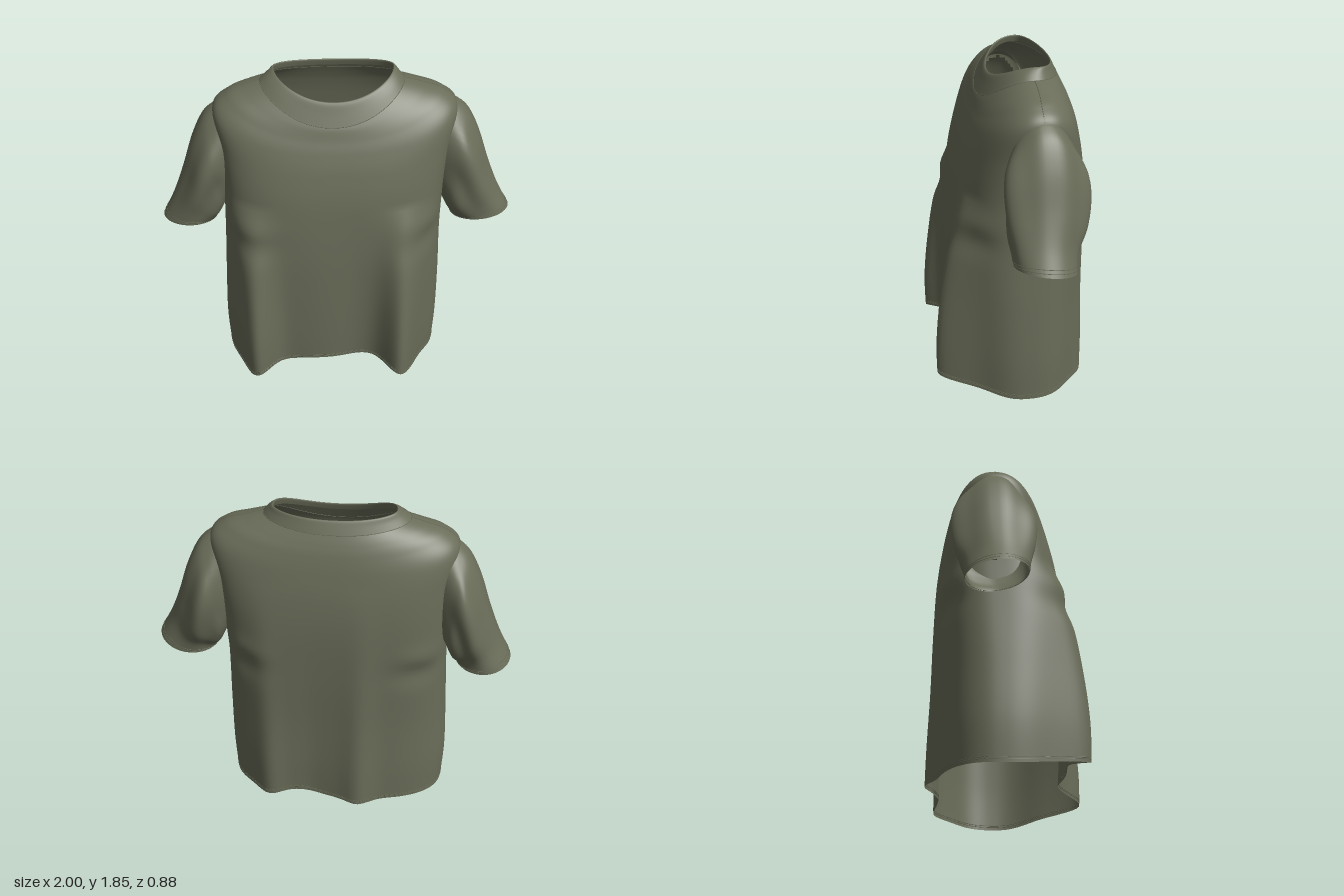
import * as THREE from 'three';

const fabric = new THREE.MeshStandardMaterial({ color: 0x6a6d59, side: THREE.DoubleSide });
fabric.name = 'olive fabric';

// Smooth interpolation through a table of section rows, t from 0 to 1
function sample(rows, t) {
  const f = Math.min(Math.max(t, 0), 1) * (rows.length - 1);
  const i = Math.min(Math.floor(f), rows.length - 2);
  const k = f - i;
  const at = (n) => rows[Math.min(Math.max(n, 0), rows.length - 1)];
  return rows[0].map((_, c) => {
    const [a, b, d, e] = [at(i - 1)[c], at(i)[c], at(i + 1)[c], at(i + 2)[c]];
    return b + 0.5 * k * (d - a + k * (2 * a - 5 * b + 4 * d - e + k * (3 * (b - d) + e - a)));
  });
}

// Closed rings joined into a surface with smooth normals; hole(point) leaves openings
function loft(name, fn, around, along, hole = () => false) {
  const points = [], idx = [];
  for (let i = 0; i <= along; i++) {
    for (let j = 0; j < around; j++) points.push(fn(i / along, (j / around) * Math.PI * 2));
  }
  for (let i = 0; i < along; i++) {
    for (let j = 0; j < around; j++) {
      const a = i * around + j, b = i * around + ((j + 1) % around);
      if (!hole(points[a])) idx.push(a, a + around, b, b, a + around, b + around);
    }
  }
  const geo = new THREE.BufferGeometry().setFromPoints(points);
  geo.setIndex(idx);
  geo.computeVertexNormals();
  const mesh = new THREE.Mesh(geo, fabric);
  mesh.name = name;
  return mesh;
}

// Thin raised line of stitching along a path
function stitch(name, points, closed) {
  const curve = new THREE.CatmullRomCurve3(points, closed);
  const mesh = new THREE.Mesh(new THREE.TubeGeometry(curve, points.length * 2, 0.002, 4, closed), fabric);
  mesh.name = name;
  return mesh;
}
const ring = (fn, t) => Array.from({ length: 80 }, (_, j) => fn(t, (j / 80) * Math.PI * 2));

// front y, side y, back y, centre x, half width, front z, back z, side z, squareness
const bodyRows = [
  [0.13, 0.008, 0.03, -0.030, 0.630, 0.315, -0.395, -0.06, 2.4],
  [0.32, 0.25, 0.25, -0.030, 0.640, 0.32, -0.400, -0.06, 2.45],
  [0.60, 0.58, 0.58, -0.025, 0.632, 0.32, -0.400, -0.06, 2.55],
  [0.90, 0.90, 0.90, -0.022, 0.620, 0.31, -0.405, -0.07, 2.8],
  [1.20, 1.20, 1.20, -0.015, 0.620, 0.28, -0.405, -0.09, 3.0],
  [1.38, 1.44, 1.40, -0.008, 0.640, 0.24, -0.390, -0.10, 2.9],
  [1.50, 1.645, 1.56, -0.005, 0.668, 0.20, -0.362, -0.10, 2.5],
  [1.57, 1.732, 1.66, -0.005, 0.590, 0.17, -0.337, -0.10, 2.25],
  [1.62, 1.772, 1.72, -0.015, 0.485, 0.15, -0.315, -0.11, 2.15],
  [1.64, 1.80, 1.77, -0.020, 0.390, 0.14, -0.292, -0.11, 2.1],
];
const collarRows = [
  bodyRows[9],
  [1.70, 1.832, 1.808, -0.015, 0.358, 0.11, -0.274, -0.12, 2.1],
  [1.75, 1.855, 1.835, -0.012, 0.332, 0.085, -0.260, -0.14, 2.1],
  [1.755, 1.853, 1.833, -0.012, 0.322, 0.072, -0.252, -0.14, 2.1],
  [1.72, 1.82, 1.80, -0.012, 0.332, 0.082, -0.260, -0.14, 2.1],
];

const bump = (v, centre, width) => Math.exp(-(((v - centre) / width) ** 2));

function torsoPoint(rows, t, a) {
  const [yf, ys, yb, cx, w, zf, zb, zs, n] = sample(rows, t);
  const c = Math.cos(a), s = Math.sin(a);
  const px = Math.sign(c) * Math.abs(c) ** (2 / n);
  const pz = Math.abs(s) ** (2 / n);
  const x = cx + w * px;
  let y = ys + ((s > 0 ? yf : yb) - ys) * s * s;
  let z = zs + ((s > 0 ? zf : zb) - zs) * pz;
  // Hanging folds that deepen towards the hem
  const hang = Math.max(0, 1 - (y / 1.2) ** 2);
  const side = Math.min(1, pz * 1.4);
  if (s > 0) {
    z += side * hang * (0.17 * bump(x, -0.49, 0.11) + 0.18 * bump(x, 0.37, 0.11) - 0.02 * bump(x, 0.1, 0.12));
    y += 0.025 * bump(x, 0.2, 0.12) * bump(y, 0.1, 0.15);
  } else {
    z -= side * Math.max(0, 1 - y / 1.5) * (0.055 * bump(x, -0.17, 0.09) + 0.055 * bump(x, 0.36, 0.09) - 0.02 * bump(x, 0.1, 0.1));
    y += 0.035 * bump(x, 0.2, 0.12) * bump(y, 0.1, 0.15);
  }
  // Soft pull creases below the armholes
  const pull = bump(Math.abs(x), 0.5, 0.13) * side * Math.sign(s);
  z += pull * (0.014 * bump(y, 1.06, 0.07) - 0.018 * bump(y, 0.95, 0.08));
  return new THREE.Vector3(x, y, z);
}

// Opening in the torso wall inside each sleeve
const armhole = (p) => Math.abs(p.x) > 0.5 && ((p.y - 1.38) / 0.25) ** 2 + ((p.z + 0.1) / 0.13) ** 2 < 1;

// top x, top y, bottom x, bottom y, front z, back z
const sleeveRows = [
  [0.60, 1.695, 0.55, 1.10, 0.06, -0.26],
  [0.67, 1.655, 0.58, 1.07, 0.09, -0.295],
  [0.735, 1.59, 0.60, 1.05, 0.11, -0.32],
  [0.80, 1.46, 0.615, 1.02, 0.12, -0.32],
  [0.865, 1.27, 0.635, 0.98, 0.115, -0.295],
  [0.93, 1.11, 0.655, 0.95, 0.10, -0.25],
  [1.00, 0.98, 0.665, 0.93, 0.09, -0.24],
];

function sleevePoint(dir, t, a) {
  const [tx, ty, bx, by, zf, zb] = sample(sleeveRows, t);
  const c = Math.cos(a), s = Math.sin(a);
  // Lengthwise wrinkles, strongest mid-sleeve
  const r = 1 + 0.08 * Math.sin(Math.PI * t) * Math.sin(5 * a + 1.2 + dir * 0.5 + t * 1.5) * Math.abs(s);
  const x = (tx + bx) / 2 + ((tx - bx) / 2) * c * r + (dir < 0 ? 0.025 * (1 - c) / 2 : 0);
  const z = (zf + zb) / 2 + ((zf - zb) / 2) * s * r - (dir < 0 ? 0.02 * t : 0);
  const y = (ty + by) / 2 + ((ty - by) / 2) * c * r + 0.15 * t * t * (z + 0.08)
    - (dir < 0 ? 0.035 * t * t * (1 + c) / 2 : 0);
  return new THREE.Vector3(dir * x, y, z);
}

export function createModel() {
  const shirt = new THREE.Group();
  shirt.name = 'shirt';

  // Torso and neckband
  const torso = (t, a) => torsoPoint(bodyRows, t, a);
  const collar = (t, a) => torsoPoint(collarRows, t, a);
  shirt.add(loft('torso', torso, 144, 90, armhole), loft('collar', collar, 96, 16));
  shirt.add(stitch('collarStitch', ring(collar, 0), true));
  for (const t of [0.014, 0.02]) shirt.add(stitch('hemStitch', ring(torso, t), true));

  for (const dir of [1, -1]) {
    const side = dir > 0 ? 'left' : 'right';
    // Sleeve with double cuff stitching
    const sleeve = (t, a) => sleevePoint(dir, t, a);
    shirt.add(loft(side + 'Sleeve', sleeve, 64, 40));
    for (const t of [0.94, 0.965]) shirt.add(stitch(side + 'CuffStitch', ring(sleeve, t), true));
    // Seam along the top of the shoulder
    const seam = [];
    for (let i = 0; i <= 10; i++) seam.push(torso(1 - 0.031 * i, dir > 0 ? 0 : Math.PI));
    shirt.add(stitch(side + 'ShoulderSeam', seam, false));
  }
  return shirt;
}
